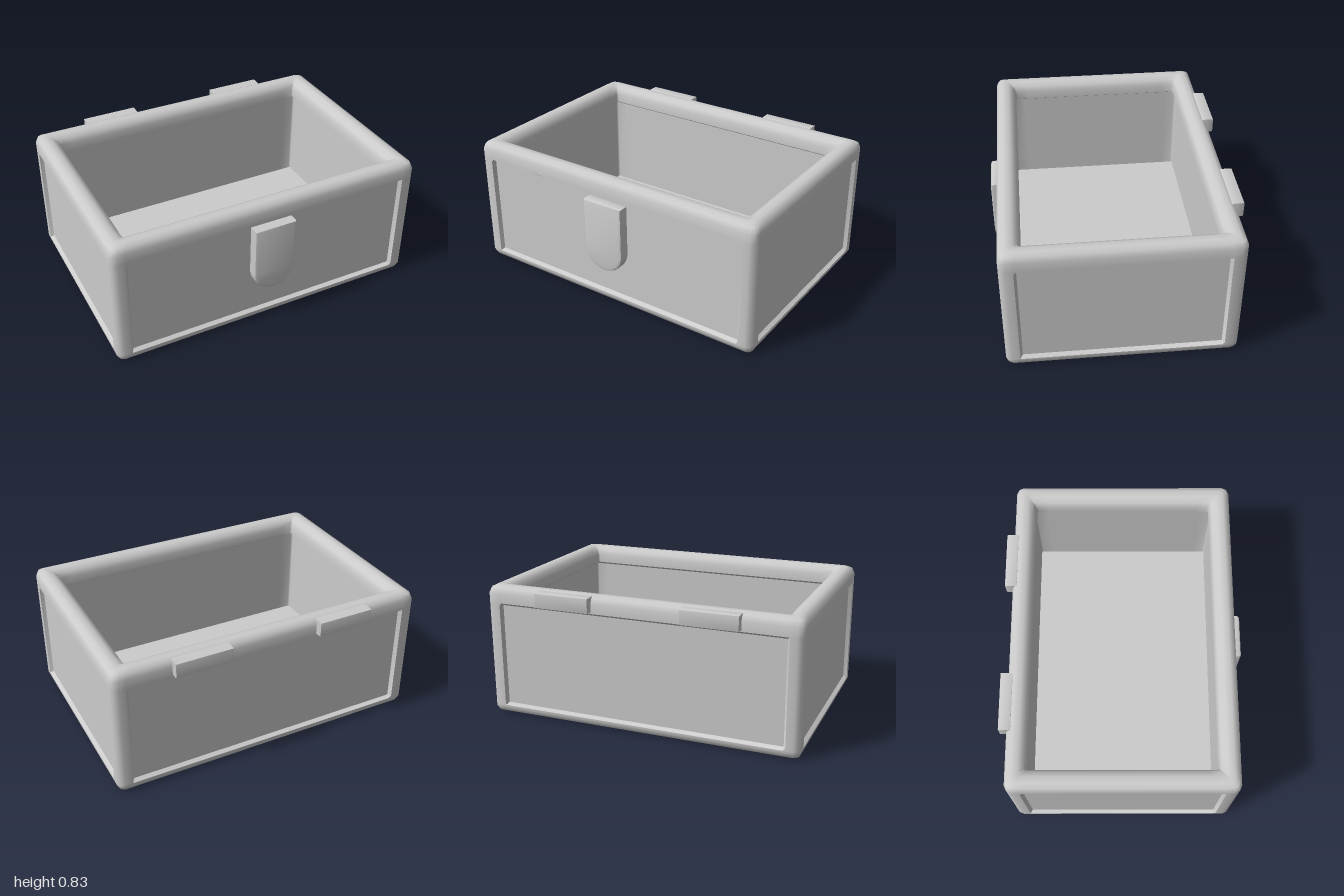
import * as THREE from 'three';
import { toCreasedNormals } from 'three/addons/utils/BufferGeometryUtils.js';

const material = new THREE.MeshStandardMaterial({ color: 0xcccccc });

// One horizontal outline of the box: bevelled corners, posts, and side panels set in by "recess"
function outline([hx, hz, bevel, y, recess = 0]) {
  const post = 0.085, step = 0.015, points = [];
  const corner = [
    [recess, post + step], [0, post], [0, bevel], [bevel * 0.3, bevel * 0.3],
    [bevel, 0], [post, 0], [post + step, recess],
  ];
  for (const [sx, sz] of [[1, 1], [-1, 1], [-1, -1], [1, -1]]) {
    const list = sx * sz > 0 ? corner : [...corner].reverse();
    for (const [dx, dz] of list) points.push([sx * (hx - dx), y, sz * (hz - dz)]);
  }
  return points;
}

// Skin between successive outlines, closed at both ends
function loft(rings) {
  const n = rings[0].length, positions = rings.flat(2), index = [];
  for (let i = 0; i < rings.length - 1; i++) {
    for (let j = 0; j < n; j++) {
      const a = i * n + j, b = i * n + (j + 1) % n;
      index.push(a, a + n, b, b, a + n, b + n);
    }
  }
  const last = (rings.length - 1) * n, c = rings.length * n;
  positions.push(0, rings[0][0][1], 0, 0, rings.at(-1)[0][1], 0);
  for (let j = 0; j < n; j++) {
    const k = (j + 1) % n;
    index.push(c, j, k, c + 1, last + k, last + j);
  }
  const geometry = new THREE.BufferGeometry();
  geometry.setAttribute('position', new THREE.Float32BufferAttribute(positions, 3));
  geometry.setIndex(index);
  return toCreasedNormals(geometry, 0.8);
}

// Rounded plate extruded along z with its back at z = 0
function plate(shape, depth, bevel) {
  const geometry = new THREE.ExtrudeGeometry(shape, {
    depth: depth - 2 * bevel, bevelThickness: bevel, bevelSize: bevel,
    bevelOffset: -bevel, bevelSegments: 2, curveSegments: 10,
  });
  geometry.translate(0, 0, bevel);
  return toCreasedNormals(geometry, 0.7);
}

function add(group, name, geometry, x, y, z) {
  const mesh = new THREE.Mesh(geometry, material);
  mesh.name = name;
  mesh.position.set(x, y, z);
  group.add(mesh);
  return mesh;
}

export function createModel() {
  const model = new THREE.Group();
  model.name = 'openBox';

  // Box: underside, framed walls, rounded rim, hollow inside and floor
  const body = [
    [0.955, 0.645, 0.02, 0.005],
    [0.985, 0.675, 0.03, 0.017],
    [0.998, 0.69, 0.04, 0.045],
    [0.998, 0.69, 0.04, 0.06],
    [0.998, 0.69, 0.04, 0.075, 0.022],
    [0.998, 0.69, 0.04, 0.715, 0.022],
    [0.998, 0.69, 0.04, 0.73],
    [0.998, 0.69, 0.04, 0.79],
    [0.985, 0.677, 0.035, 0.822],
    [0.955, 0.647, 0.03, 0.837],
    [0.915, 0.607, 0.02, 0.835],
    [0.88, 0.573, 0.01, 0.815],
    [0.866, 0.56, 0.01, 0.78],
    [0.866, 0.56, 0.01, 0.725],
    [0.89, 0.584, 0.01, 0.71],
    [0.89, 0.584, 0.01, 0.1],
  ];
  add(model, 'boxBody', loft(body.map(outline)), 0, 0, 0);

  // Front latch tongue with a rounded lower end
  const tongue = new THREE.Shape();
  tongue.moveTo(0.135, 0.7);
  tongue.lineTo(-0.135, 0.7);
  tongue.lineTo(-0.135, 0.39);
  tongue.absarc(0, 0.385, 0.135, Math.PI, 2 * Math.PI, false);
  tongue.closePath();
  add(model, 'latch', plate(tongue, 0.075, 0.015), 0, 0, 0.66);

  // Two hinge leaves on the back edge
  const leaf = new THREE.Shape();
  leaf.moveTo(-0.177, 0.74);
  leaf.lineTo(0.177, 0.74);
  leaf.lineTo(0.177, 0.832);
  leaf.lineTo(-0.177, 0.832);
  leaf.closePath();
  const leafGeometry = plate(leaf, 0.075, 0.006);
  for (const side of [-1, 1]) {
    add(model, side > 0 ? 'leftHinge' : 'rightHinge', leafGeometry, side * 0.463, 0, -0.735);
  }
  return model;
}
